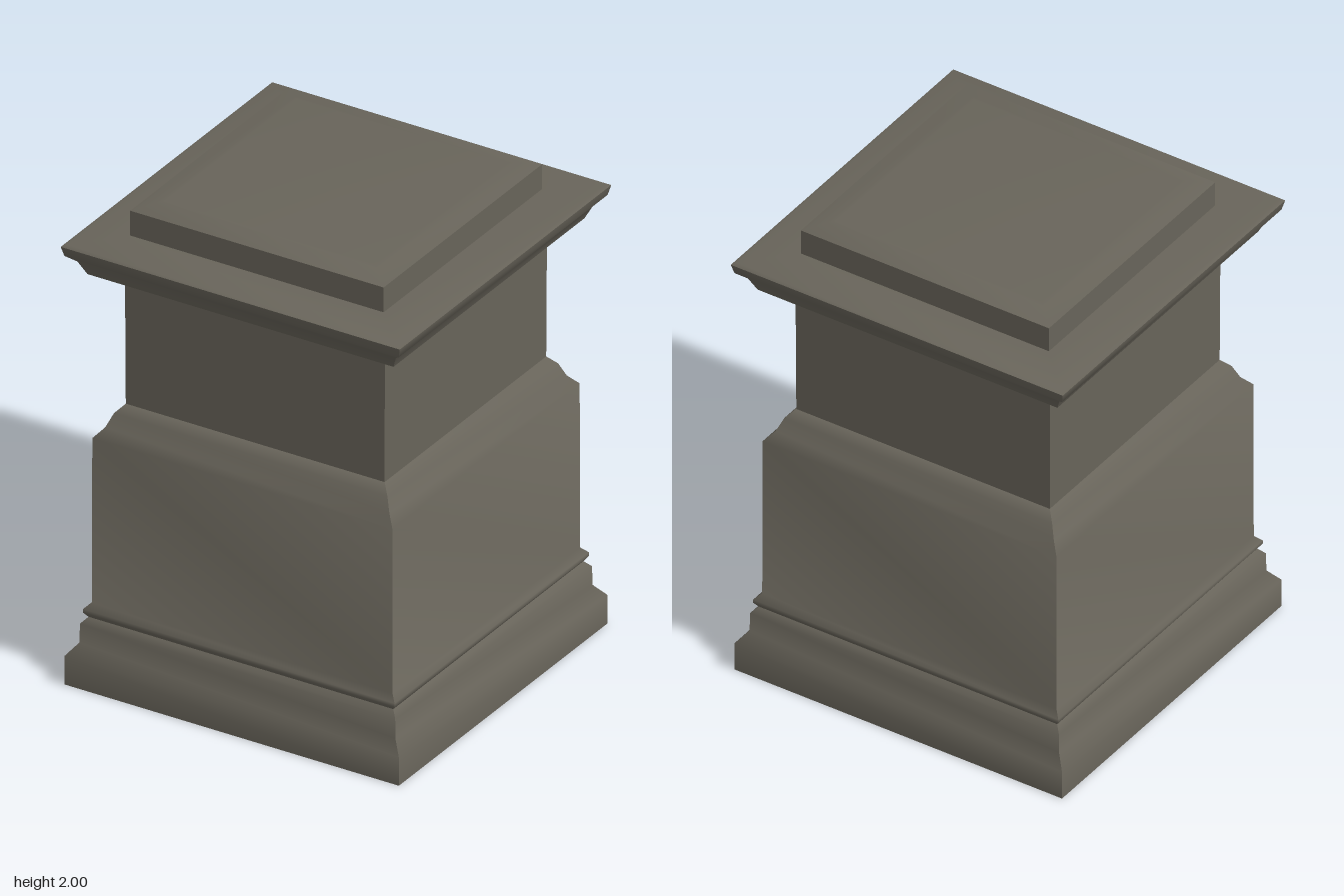
import * as THREE from 'three';
import { toCreasedNormals } from 'three/addons/utils/BufferGeometryUtils.js';

// Square solid swept from a profile of [half width, height] points, bottom to top
function squareSolid(name, profile, material) {
  const points = profile.map(([w, y]) => new THREE.Vector2(w * Math.SQRT2, y));
  const lathe = new THREE.LatheGeometry(points, 4, Math.PI / 4);
  const mesh = new THREE.Mesh(toCreasedNormals(lathe, 0.85), material);
  mesh.name = name;
  return mesh;
}

export function createModel() {
  const group = new THREE.Group();
  group.name = 'pedestal';
  const stone = new THREE.MeshStandardMaterial({ color: 0x68645a });
  stone.name = 'weathered stone';

  const parts = {
    // Stepped foot, bead moulding and broad lower block with sloped shoulder
    lowerBlock: [
      [0, 0], [0.73, 0], [0.73, 0.12], [0.69, 0.17], [0.688, 0.25],
      [0.665, 0.275], [0.68, 0.295], [0.68, 0.31], [0.656, 0.335],
      [0.655, 1.03], [0.62, 1.07], [0.597, 1.125], [0.565, 1.16], [0, 1.16],
    ],
    // Narrower shaft flaring out under the cornice
    shaft: [
      [0.565, 1.16], [0.567, 1.67], [0.605, 1.7], [0.61, 1.73], [0, 1.73],
    ],
    // Overhanging cornice
    cornice: [
      [0, 1.727], [0.668, 1.727], [0.695, 1.785], [0.73, 1.815],
      [0.74, 1.855], [0.725, 1.862], [0.555, 1.87], [0, 1.87],
    ],
    // Bevelled cap block
    cap: [
      [0.553, 1.865], [0.553, 1.975], [0.475, 1.998], [0.46, 2], [0, 2],
    ],
  };
  for (const [name, profile] of Object.entries(parts)) {
    group.add(squareSolid(name, profile, stone));
  }
  return group;
}
